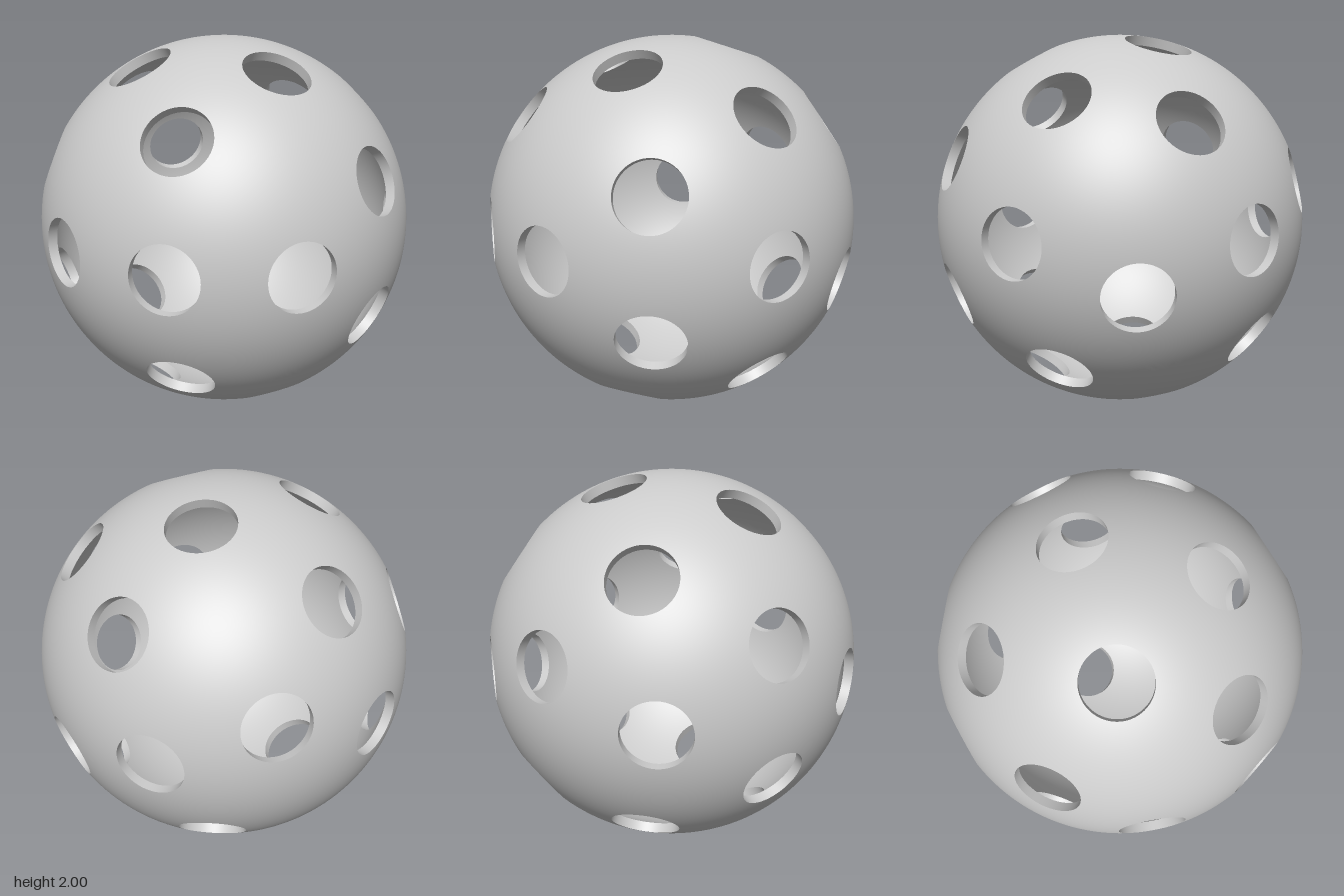
import * as THREE from 'three';

const R_OUT = 1, R_IN = 0.95, HOLE = 0.177;
const EDGE_STEPS = 18, SHELL_STEPS = 7;
const DEG = Math.PI / 180;

// Direction at a polar angle from the front-back axis, turned about that axis
function direction(polar, turn) {
  return new THREE.Vector3(
    Math.sin(polar * DEG) * Math.cos(turn * DEG),
    Math.sin(polar * DEG) * Math.sin(turn * DEG),
    Math.cos(polar * DEG));
}

// Each half has a pole hole, a ring of 4 and a staggered ring of 8;
// the back half is turned by 22.5 degrees
function holeDirections() {
  const dirs = [];
  for (const back of [false, true]) {
    const polar = (a) => (back ? 180 - a : a);
    const offset = back ? -22.5 : 0;
    dirs.push(direction(polar(0), 0));
    for (let i = 0; i < 4; i++) dirs.push(direction(polar(38), offset + i * 90));
    for (let i = 0; i < 8; i++) dirs.push(direction(polar(72), offset + 22.5 + i * 45));
  }
  return dirs;
}

// Corners of the patch of sphere that lies nearest to one hole
function patchCorners(axis, dirs) {
  const near = dirs.filter((d) => d !== axis && d.angleTo(axis) < 75 * DEG);
  const corners = [];
  for (let j = 0; j < near.length; j++) {
    for (let k = j + 1; k < near.length; k++) {
      const c = near[j].clone().sub(axis).cross(near[k].clone().sub(axis));
      if (c.length() < 1e-6) continue;
      c.normalize();
      if (c.dot(axis) < 0) c.negate();
      const reach = c.dot(axis) + 1e-6;
      if (near.some((d) => d.dot(c) > reach)) continue;
      if (corners.some((o) => o.distanceTo(c) < 1e-4)) continue;
      corners.push(c);
    }
  }
  return corners;
}

// Adds a strip of quads across the given columns, each a list of { p, n }
function addStrip(target, columns) {
  const rows = columns[0].length;
  const start = target.positions.length / 3;
  for (const column of columns) {
    for (const { p, n } of column) {
      target.positions.push(p.x, p.y, p.z);
      target.normals.push(n.x, n.y, n.z);
    }
  }
  for (let j = 0; j < columns.length; j++) {
    const here = start + j * rows;
    const next = start + ((j + 1) % columns.length) * rows;
    for (let i = 0; i < rows - 1; i++) {
      target.indices.push(here + i, here + i + 1, next + i + 1);
      target.indices.push(here + i, next + i + 1, next + i);
    }
  }
}

function makeMesh(name, { positions, normals, indices }, material) {
  const geometry = new THREE.BufferGeometry();
  geometry.setAttribute('position', new THREE.Float32BufferAttribute(positions, 3));
  geometry.setAttribute('normal', new THREE.Float32BufferAttribute(normals, 3));
  geometry.setIndex(indices);
  const mesh = new THREE.Mesh(geometry, material);
  mesh.name = name;
  mesh.position.y = 1;
  return mesh;
}

export function createModel() {
  const group = new THREE.Group();
  group.name = 'perforatedBall';
  const material = new THREE.MeshStandardMaterial({ color: 0xcccccc });
  const empty = () => ({ positions: [], normals: [], indices: [] });
  const outer = empty(), inner = empty(), walls = empty();
  const dirs = holeDirections();

  for (const axis of dirs) {
    const u = new THREE.Vector3(0, 1, 0).cross(axis).normalize();
    const v = axis.clone().cross(u);
    const turn = (p) => Math.atan2(p.dot(v), p.dot(u));
    const corners = patchCorners(axis, dirs).sort((a, b) => turn(a) - turn(b));

    // Evenly spaced points along every patch edge, shared with the neighbours
    const border = [];
    corners.forEach((a, i) => {
      const b = corners[(i + 1) % corners.length];
      for (let s = 0; s < EDGE_STEPS; s++) {
        border.push(a.clone().lerp(b, s / EDGE_STEPS).normalize());
      }
    });

    const outerCols = [], innerCols = [], wallCols = [];
    for (const edge of border) {
      const radial = edge.clone().addScaledVector(axis, -edge.dot(axis)).normalize();
      const rim = (r) => radial.clone().multiplyScalar(HOLE)
        .addScaledVector(axis, Math.sqrt(r * r - HOLE * HOLE));
      // Shell section running from the hole rim out to the patch edge
      const section = (r, side) => Array.from({ length: SHELL_STEPS + 1 }, (_, i) => {
        const d = rim(r).normalize().lerp(edge, i / SHELL_STEPS).normalize();
        return { p: d.clone().multiplyScalar(r), n: d.multiplyScalar(side) };
      });
      outerCols.push(section(R_OUT, 1));
      innerCols.push(section(R_IN, -1).reverse());
      const n = radial.clone().negate();
      wallCols.push([{ p: rim(R_IN), n }, { p: rim(R_OUT), n }]);
    }
    addStrip(outer, outerCols);
    addStrip(inner, innerCols);
    addStrip(walls, wallCols);
  }

  group.add(makeMesh('outerShell', outer, material));
  group.add(makeMesh('innerShell', inner, material));
  group.add(makeMesh('holeWalls', walls, material));
  return group;
}
